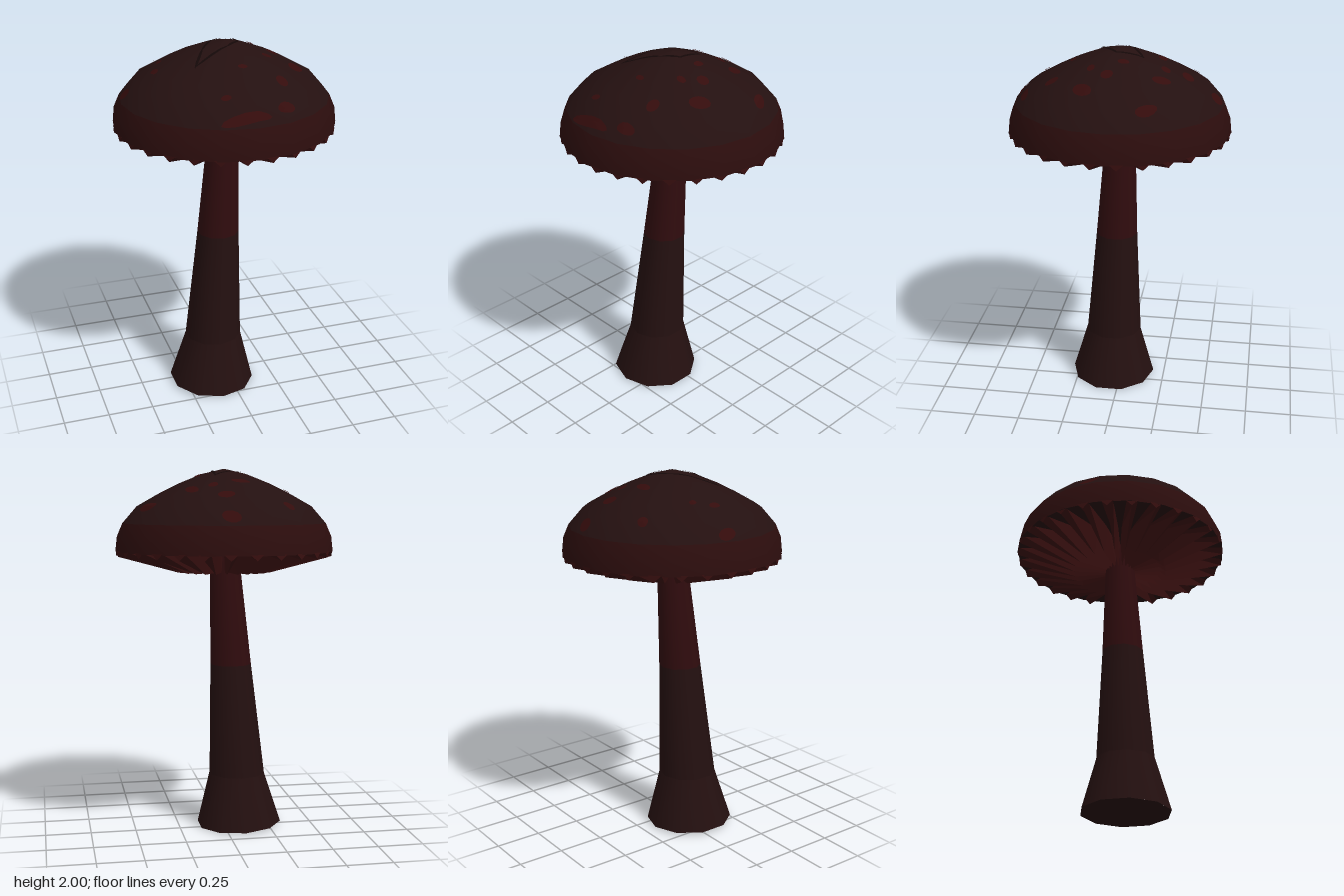
import * as THREE from 'three';
import { mergeGeometries } from 'three/addons/utils/BufferGeometryUtils.js';

const SIDES = 20;
// Cap outline, rim to crown: [radius, height]
const CAP = [[0.592, 1.56], [0.583, 1.64], [0.553, 1.71], [0.475, 1.8], [0.36, 1.865], [0.25, 1.92], [0.12, 1.972], [0, 2]];

const paint = (name, color) => {
  const m = new THREE.MeshStandardMaterial({ color });
  m.name = name;
  return m;
};

const lathe = (pts) => new THREE.LatheGeometry(pts.map(([r, y]) => new THREE.Vector2(r, y)), SIDES);

// Height of the faceted cap above a point (x, z)
function capHeight(x, z) {
  const step = (Math.PI * 2) / SIDES;
  const a = Math.atan2(x, z);
  const mid = (Math.floor(a / step) + 0.5) * step;
  const r = Math.min(Math.hypot(x, z) * Math.cos(a - mid) / Math.cos(step / 2), 0.585);
  for (let i = 0; i < CAP.length - 1; i++) {
    const [r0, y0] = CAP[i], [r1, y1] = CAP[i + 1];
    if (r >= r1) return y0 + (y1 - y0) * (r0 - r) / (r0 - r1);
  }
  return 2;
}

// Thin oval patch laid over the cap
function spot([x, z, rx, rz, turn = 0]) {
  const g = new THREE.RingGeometry(0.001, 1, 12, 3);
  const p = g.attributes.position;
  const c = Math.cos(turn), s = Math.sin(turn);
  for (let i = 0; i < p.count; i++) {
    const u = p.getX(i) * rx, v = -p.getY(i) * rz;
    const px = x + u * c - v * s, pz = z + u * s + v * c;
    const k = 1 + 0.005 * Math.hypot(px, pz) / 0.5;
    p.setXYZ(i, px * k, capHeight(px, pz) + 0.005, pz * k);
  }
  g.computeVertexNormals();
  return g;
}

// Wedge-shaped gill, thin edge down, running outwards along x
function gill(angle) {
  // [radius, bottom, top, half width]
  const rows = [[0.06, 1.445, 1.6, 0.006], [0.26, 1.445, 1.6, 0.02], [0.587, 1.535, 1.566, 0.034]];
  const v = [];
  const L = ([r, , t, w]) => [r, t, -w], R = ([r, , t, w]) => [r, t, w], B = ([r, b]) => [r, b, 0];
  const quad = (a, b, c, d) => v.push(...a, ...b, ...c, ...a, ...c, ...d);
  for (let i = 0; i < 2; i++) {
    const p = rows[i], q = rows[i + 1];
    quad(R(p), B(p), B(q), R(q));
    quad(L(q), B(q), B(p), L(p));
  }
  v.push(...L(rows[2]), ...R(rows[2]), ...B(rows[2]));
  const g = new THREE.BufferGeometry();
  g.setAttribute('position', new THREE.Float32BufferAttribute(v, 3));
  g.computeVertexNormals();
  return g.rotateY(angle);
}

// Leaning stem stations: [centre x, centre z, radius, height]
const STEM = [[-0.095, 0.05, 0.238, 0.01], [-0.082, 0.045, 0.156, 0.3], [-0.042, 0.022, 0.114, 0.93], [-0.008, 0, 0.085, 1.45], [0, 0, 0.078, 1.6]];

function stemPiece(i) {
  const [x0, z0, r0, y0] = STEM[i], [x1, z1, r1, y1] = STEM[i + 1];
  const g = new THREE.CylinderGeometry(r1, r0, y1 - y0, 10, 1, true);
  const p = g.attributes.position;
  for (let j = 0; j < p.count; j++) {
    const top = p.getY(j) > 0;
    const tilt = i === 0 && !top ? -0.042 * p.getX(j) : 0;
    p.setXYZ(j, p.getX(j) + (top ? x1 : x0), (top ? y1 : y0) + tilt, p.getZ(j) + (top ? z1 : z0));
  }
  return g;
}

export function createModel() {
  const model = new THREE.Group();
  model.name = 'mushroom';
  const brown = paint('dark brown', 0x241010);
  const rimRed = paint('rim red brown', 0x2c0d0d);
  const spotRed = paint('spot red', 0x340c0c);
  const stemRed = paint('upper stem red', 0x300c0e);
  const gillRed = paint('gill red', 0x380f0f);
  const creaseDark = paint('crease dark', 0x140808);
  const add = (name, geometry, material) => {
    const m = new THREE.Mesh(geometry, material);
    m.name = name;
    model.add(m);
  };

  // Cap: rim band, crown and hollow underside
  add('capRim', lathe(CAP.slice(0, 3)), rimRed);
  add('capCrown', lathe(CAP.slice(2)), brown);
  add('capUnderside', lathe([[0, 1.6], [0.3, 1.595], [0.592, 1.56]]), brown);

  // Spots: [x, z, half width, half depth, turn]
  const spots = [
    [-0.27, -0.38, 0.03, 0.025], [0.05, -0.36, 0.045, 0.03], [-0.05, -0.22, 0.05, 0.024],
    [0.1, -0.25, 0.026, 0.024], [0.21, -0.24, 0.028, 0.05, -0.4], [0.43, -0.19, 0.025, 0.06, -0.6],
    [-0.32, -0.11, 0.016, 0.02], [-0.37, -0.01, 0.018, 0.032], [0.25, 0.03, 0.03, 0.032],
    [0.15, -0.04, 0.018, 0.03], [0.19, 0.12, 0.026, 0.02], [0.34, 0.14, 0.035, 0.055, 0.6],
    [0.2, 0.32, 0.03, 0.035], [0.02, 0.24, 0.025, 0.015], [-0.12, 0.41, 0.027, 0.016],
    [0.05, -0.51, 0.05, 0.025, 0.3], [-0.52, -0.05, 0.022, 0.05], [-0.05, 0.512, 0.13, 0.02],
    [0.17, 0.47, 0.05, 0.02, -0.3],
  ];
  add('capSpots', mergeGeometries(spots.map(spot)), spotRed);

  // Leaf-shaped crease around the crown
  const leaf = [[0.07, -0.13], [0.07, 0.01], [0, 0.07], [-0.2, 0.16], [-0.13, 0.04], [-0.05, -0.06]];
  const creases = leaf.map(([x, z], i) => {
    const [x2, z2] = leaf[(i + 1) % leaf.length];
    return spot([(x + x2) / 2, (z + z2) / 2, Math.hypot(x2 - x, z2 - z) / 2 + 0.01, 0.008, Math.atan2(z2 - z, x2 - x)]);
  });
  add('crownCrease', mergeGeometries(creases), creaseDark);

  // Gills fan out from the stem
  const count = 28;
  const gills = Array.from({ length: count }, (_, i) => gill((i + 0.5) * Math.PI * 2 / count));
  add('gills', mergeGeometries(gills), gillRed);

  // Stem: flared foot, shaft, red neck and closed base
  add('stemFoot', stemPiece(0), brown);
  add('stemShaft', stemPiece(1), brown);
  add('stemNeck', mergeGeometries([stemPiece(2), stemPiece(3)]), stemRed);
  const base = new THREE.CircleGeometry(STEM[0][2], 10, Math.PI / 2).rotateX(Math.PI / 2);
  base.rotateZ(-0.042).translate(STEM[0][0], STEM[0][3], STEM[0][1]);
  add('stemBase', base, brown);

  return model;
}
